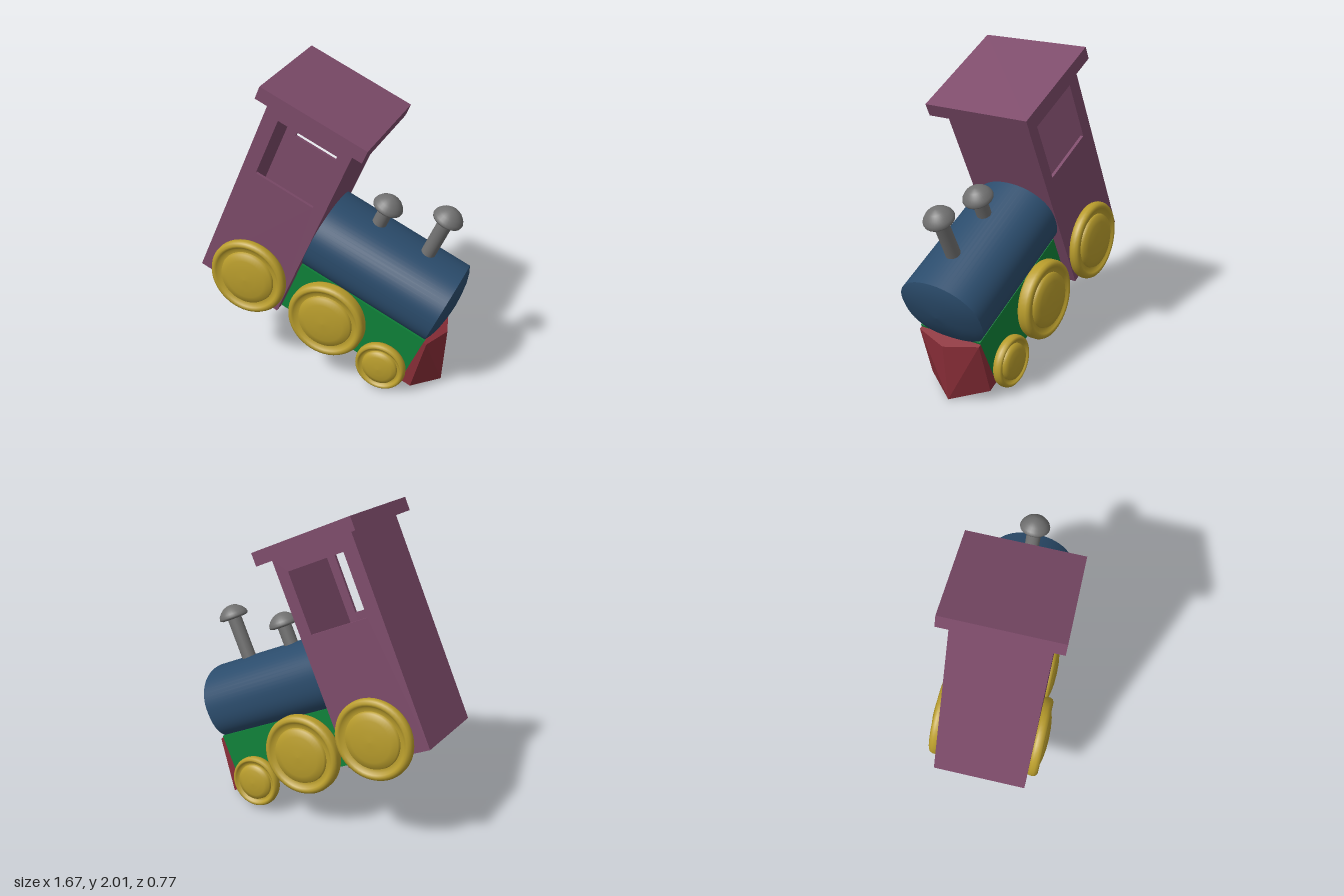
import * as THREE from 'three';
import { ConvexGeometry } from 'three/addons/geometries/ConvexGeometry.js';

const mat = (name, color) => {
  const m = new THREE.MeshStandardMaterial({ color });
  m.name = name;
  return m;
};

export function createModel() {
  const purple = mat('plum', 0x7d4b6a);
  const blue = mat('steelBlue', 0x2b4c6c);
  const green = mat('green', 0x0f8239);
  const gold = mat('gold', 0xb99d2c);
  const red = mat('darkRed', 0x8a2e38);
  const grey = mat('grey', 0x707070);

  const model = new THREE.Group();
  model.name = 'toyTrain';
  // The whole train is pitched nose-down and leans very slightly to one side
  const train = new THREE.Group();
  train.name = 'train';
  train.rotation.set(0.03, 0, -24 * Math.PI / 180, 'ZYX');
  train.position.z = -0.025;
  model.add(train);

  const add = (name, geo, material, x = 0, y = 0, z = 0, parent = train) => {
    const m = new THREE.Mesh(geo, material);
    m.name = name;
    m.position.set(x, y, z);
    parent.add(m);
    return m;
  };
  // Box given by its limits along the train and in height, and its z range
  const box = (name, material, x0, x1, y0, y1, z0, z1) =>
    add(name, new THREE.BoxGeometry(x1 - x0, y1 - y0, z1 - z0), material,
      (x0 + x1) / 2, (y0 + y1) / 2, (z0 + z1) / 2);
  const lathe = (pts, seg = 48) =>
    new THREE.LatheGeometry(pts.map(([r, y]) => new THREE.Vector2(r, y)), seg);

  // Cab: two side walls with windows, joined by end walls and a floor
  const back = -1.035, front = -0.462, low = 0.29, high = 1.63, half = 0.29, wall = 0.02;
  const rect = (P, x0, x1, y0, y1) => {
    const p = new P();
    p.moveTo(x0, y0);
    p.lineTo(x1, y0);
    p.lineTo(x1, y1);
    p.lineTo(x0, y1);
    p.closePath();
    return p;
  };
  const side = rect(THREE.Shape, back, front, low, high);
  side.holes.push(rect(THREE.Path, -0.942, -0.542, 1.126, 1.524));
  const sideGeo = new THREE.ExtrudeGeometry(side, { depth: wall, bevelEnabled: false });
  add('cabLeftWall', sideGeo, purple, 0, 0, half - wall);
  add('cabRightWall', sideGeo, purple, 0, 0, -half);
  box('cabBackWall', purple, back, back + wall, low, high, wall - half, half - wall);
  box('cabFrontWall', purple, front - wall, front, low, high, wall - half, half - wall);
  box('cabFloor', purple, back + wall, front - wall, low, low + wall, wall - half, half - wall);
  box('roof', purple, -1.1, -0.387, 1.615, 1.7, -0.357, 0.357);

  // Chassis under the boiler
  box('chassis', green, front, 0.43, 0.29, 0.66, -0.22, 0.22);

  // Boiler: lathe stretched to an oval that is squarer below, with a bulging nose
  const boiler = lathe([[1, -0.47], [1, 0.425], [1, 0.425], [0.85, 0.445],
    [0.6, 0.463], [0.3, 0.474], [0, 0.478]], 64);
  boiler.rotateZ(-Math.PI / 2);
  const pos = boiler.attributes.position;
  for (let i = 0; i < pos.count; i++) {
    const y = pos.getY(i), z = pos.getZ(i), r = Math.hypot(y, z);
    if (r < 1e-6) continue;
    const n = y < 0 ? 2.6 : 2.1;
    const f = r / Math.pow(Math.abs(y) ** n + Math.abs(z) ** n, 1 / n);
    pos.setY(i, y * f * 0.236);
    pos.setZ(i, z * f * 0.283);
  }
  boiler.computeVertexNormals();
  add('boiler', boiler, blue, 0, 0.851, 0);

  // Chimneys with mushroom caps
  const cap = lathe([[0, 0], [0.08, 0], [0.093, 0.006], [0.096, 0.016], [0.09, 0.034],
    [0.072, 0.058], [0.045, 0.078], [0.02, 0.087], [0, 0.089]], 32);
  for (const [name, x, capY] of [['frontChimney', 0.168, 1.352], ['rearChimney', -0.18, 1.205]]) {
    const g = new THREE.Group();
    g.name = name;
    g.position.x = x;
    train.add(g);
    const h = capY + 0.02 - 1.03;
    add('stem', new THREE.CylinderGeometry(0.046, 0.046, h, 24), grey, 0, 1.03 + h / 2, 0, g);
    add('cap', cap, grey, 0, capY, 0, g);
  }

  // Wheels: rounded rim, groove and domed hub, mirrored on both sides
  const wheel = (R, inner, rim, hub) => {
    const s = R / 0.255;
    const geo = lathe([[0, inner], [R - 0.03 * s, inner], [R - 0.008 * s, inner + 0.008],
      [R, inner + 0.025], [R, rim - 0.025], [R - 0.008 * s, rim - 0.008], [R - 0.025 * s, rim],
      [R - 0.04 * s, rim - 0.005], [R - 0.052 * s, rim - 0.02], [R - 0.075 * s, rim - 0.02],
      [R - 0.075 * s, rim - 0.02], [R - 0.082 * s, rim], [0.13 * s, rim + (hub - rim) * 0.5],
      [0.07 * s, rim + (hub - rim) * 0.88], [0, hub]]);
    geo.rotateX(Math.PI / 2);
    return geo;
  };
  const wheels = [
    ['rearWheel', -0.717, 0.431, wheel(0.255, 0.28, 0.352, 0.374)],
    ['middleWheel', -0.16, 0.432, wheel(0.255, 0.22, 0.312, 0.334)],
    ['frontWheel', 0.276, 0.326, wheel(0.165, 0.215, 0.28, 0.298)],
  ];
  for (const [name, x, y, geo] of wheels) {
    add(name + 'Left', geo, gold, x, y);
    add(name + 'Right', geo, gold, x, y).rotation.y = Math.PI;
  }

  // Cowcatcher: wedge with a centre ridge, reaching further forward at the bottom
  const corners = [];
  for (const [y, edge, ridge] of [[0.645, 0.45, 0.522], [0.29, 0.5, 0.647]]) {
    for (const z of [-0.22, 0.22]) {
      corners.push(new THREE.Vector3(0.428, y, z), new THREE.Vector3(edge, y, z));
    }
    corners.push(new THREE.Vector3(ridge, y, 0));
  }
  add('cowcatcher', new ConvexGeometry(corners), red);

  return model;
}
